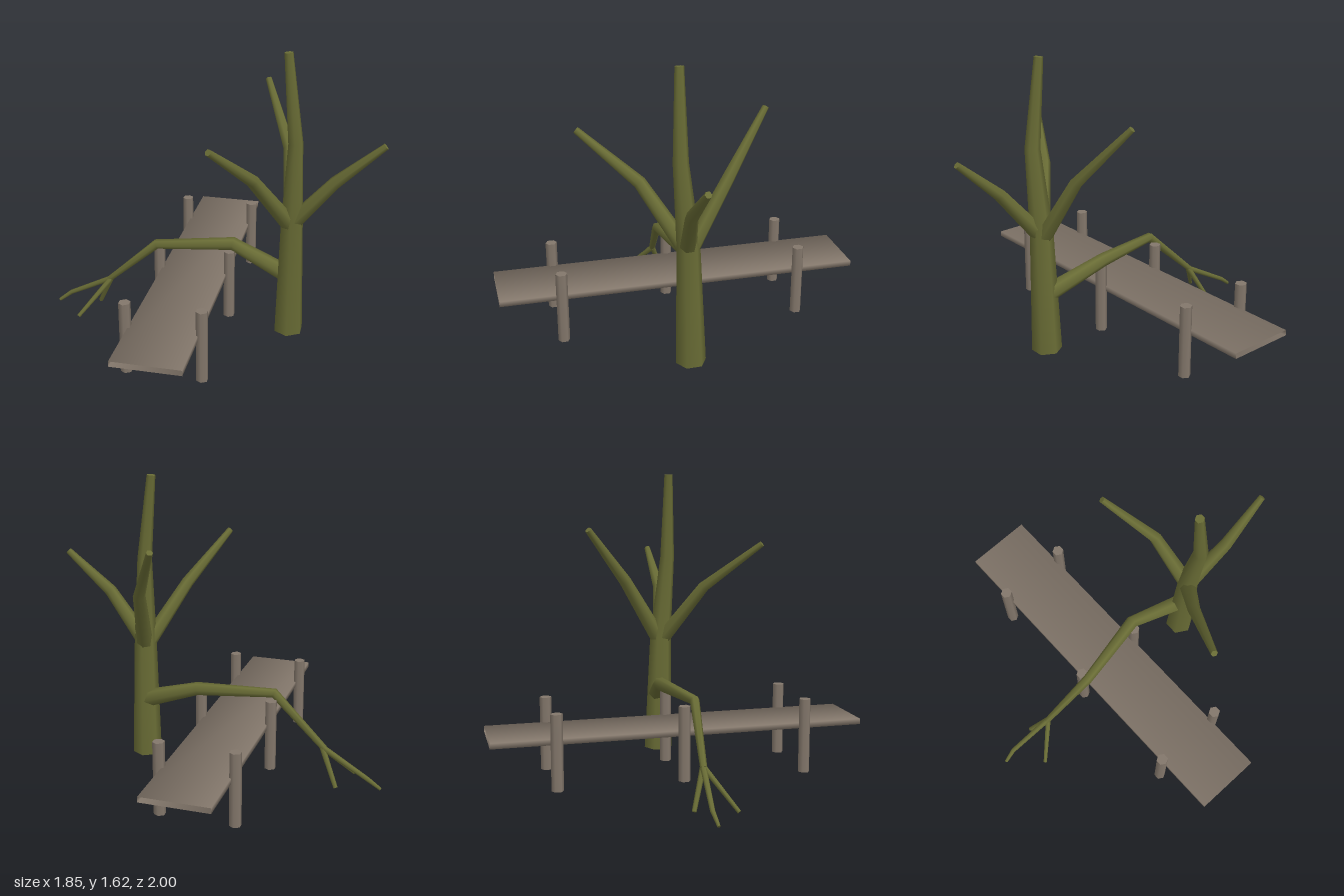
import * as THREE from 'three';

const bark = new THREE.MeshStandardMaterial({ color: 0x696c35, name: 'mossy bark' });
const wood = new THREE.MeshStandardMaterial({ color: 0x83776b, name: 'weathered wood', side: THREE.DoubleSide });

// Six-sided tapering limb through points [x, y, z, radius], listed from base to tip
function limb(name, pts) {
  const p = pts.map(([x, y, z]) => new THREE.Vector3(x, y, z));
  const last = p.length - 1;
  const up = new THREE.Vector3(0, 1, 0);
  const turns = p.map((_, i) => {
    const dir = new THREE.Vector3();
    if (i > 0) dir.add(p[i].clone().sub(p[i - 1]).normalize());
    if (i < last) dir.add(p[i + 1].clone().sub(p[i]).normalize());
    return new THREE.Quaternion().setFromUnitVectors(up, dir.normalize());
  });
  const geo = new THREE.CylinderGeometry(1, 1, 1, 6, last);
  const pos = geo.attributes.position, nor = geo.attributes.normal;
  const v = new THREE.Vector3();
  for (let k = 0; k < pos.count; k++) {
    const i = Math.round((pos.getY(k) + 0.5) * last);
    v.set(pos.getX(k), 0, pos.getZ(k)).multiplyScalar(pts[i][3]).applyQuaternion(turns[i]).add(p[i]);
    pos.setXYZ(k, v.x, v.y, v.z);
    v.fromBufferAttribute(nor, k).applyQuaternion(turns[i]);
    nor.setXYZ(k, v.x, v.y, v.z);
  }
  const mesh = new THREE.Mesh(geo, bark);
  mesh.name = name;
  return mesh;
}

function createTree() {
  const tree = new THREE.Group();
  tree.name = 'tree';
  tree.add(
    limb('trunk', [[0.445, 0.02, 0.045, 0.082], [0.448, 0.7, 0.062, 0.062],
      [0.46, 1.15, 0.105, 0.041], [0.41, 1.62, 0.1, 0.024]]),
    limb('leftBranch', [[0.45, 0.68, 0.065, 0.045], [0.67, 0.95, 0.105, 0.034], [0.915, 1.165, 0.095, 0.018]]),
    limb('backBranch', [[0.445, 0.68, 0.045, 0.045], [0.39, 1.02, -0.16, 0.034], [0.23, 1.325, -0.4, 0.018]]),
    limb('frontBranch', [[0.435, 0.68, 0.075, 0.045], [0.268, 0.99, 0.27, 0.034], [0.105, 1.24, 0.56, 0.018]]),
    // Drooping branch that crosses the walkway, ending in a fork of twigs
    limb('lowBranch', [[0.43, 0.355, 0.035, 0.05], [0.11, 0.475, -0.03, 0.037],
      [-0.305, 0.467, 0.053, 0.027], [-0.6, 0.195, 0.015, 0.018]]),
    limb('longTwig', [[-0.59, 0.2, 0.015, 0.016], [-0.85, 0.06, -0.015, 0.013], [-0.92, 0.007, -0.005, 0.009]]),
    limb('backTwig', [[-0.59, 0.2, 0.015, 0.016], [-0.685, 0.004, -0.058, 0.012]]),
    limb('frontTwig', [[-0.59, 0.2, 0.015, 0.016], [-0.75, 0.006, 0.152, 0.011]])
  );
  return tree;
}

function createWalkway() {
  const walkway = new THREE.Group();
  walkway.name = 'walkway';

  // Long flat deck, open at both ends, with softly shaded edges
  const deckGeo = new THREE.CylinderGeometry(Math.SQRT1_2, Math.SQRT1_2, 2, 4, 1, true);
  deckGeo.rotateY(Math.PI / 4).rotateX(Math.PI / 2);
  deckGeo.attributes.position.applyMatrix4(new THREE.Matrix4().makeScale(0.366, 0.03, 1));
  const deck = new THREE.Mesh(deckGeo, wood);
  deck.name = 'deck';
  deck.position.set(-0.102, 0.29, 0);
  walkway.add(deck);

  // Three pairs of posts beside the deck
  const postGeo = new THREE.CylinderGeometry(0.032, 0.032, 0.4, 6);
  for (const x of [-0.302, 0.098]) {
    for (const z of [-0.667, 0, 0.667]) {
      const post = new THREE.Mesh(postGeo, wood);
      post.name = 'post';
      post.position.set(x, 0.24, z);
      walkway.add(post);
    }
  }
  return walkway;
}

export function createModel() {
  const model = new THREE.Group();
  model.name = 'walkwayWithTree';
  model.add(createWalkway(), createTree());
  return model;
}
